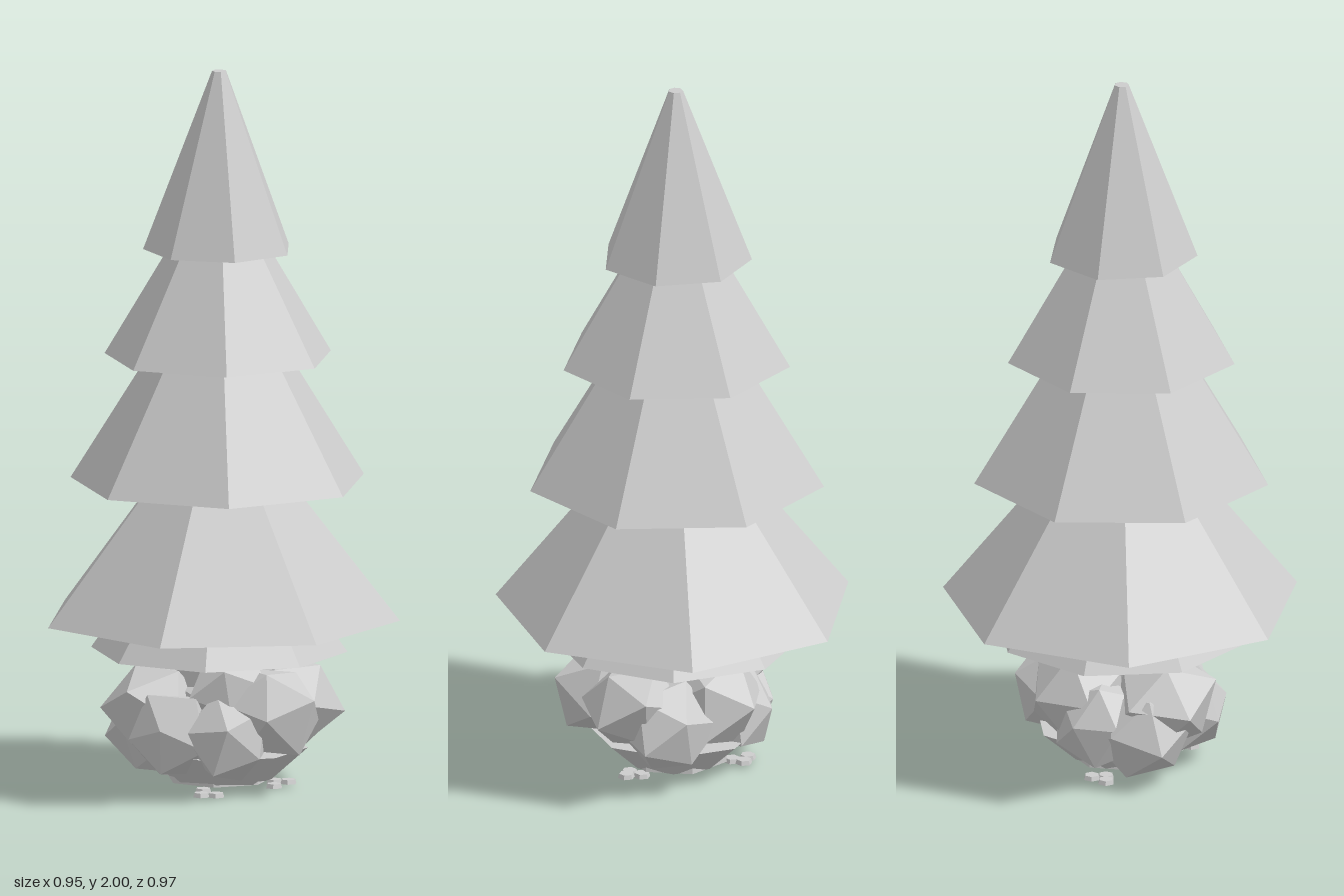
import * as THREE from 'three';

const CX = -0.025; // trunk axis

export function createModel() {
  const tree = new THREE.Group();
  tree.name = 'pineTree';
  const grey = new THREE.MeshStandardMaterial({ color: 0xcccccc, flatShading: true });
  grey.name = 'plainGrey';

  const add = (name, geometry, x, y, z) => {
    const mesh = new THREE.Mesh(geometry, grey);
    mesh.name = name;
    mesh.position.set(x, y, z);
    tree.add(mesh);
    return mesh;
  };

  // Foliage tiers: bottom y, top y, bottom radius, top radius, sides,
  // angle of one corner in degrees from +x towards +z
  const tiers = [
    [0.38, 0.60, 0.355, 0.20, 8, 0],
    [0.47, 0.87, 0.50, 0.185, 7, 0],
    [0.85, 1.22, 0.415, 0.185, 7, 28.7],
    [1.20, 1.52, 0.32, 0.13, 7, 28.7],
    [1.50, 2.00, 0.21, 0.02, 7, 20.6],
  ];
  tiers.forEach(([y0, y1, r0, r1, sides, corner], i) => {
    const cone = new THREE.CylinderGeometry(r1, r0, y1 - y0, sides);
    cone.rotateY(Math.PI / 2 * -1 - THREE.MathUtils.degToRad(corner) + Math.PI);
    // a cylinder's first corner lies on +z; the turn brings it to the wanted angle
    add('foliageTier' + (i + 1), cone, CX, (y0 + y1) / 2, 0);
  });

  // Trunk core between the foliage and the ground
  add('trunk', new THREE.CylinderGeometry(0.12, 0.15, 0.42, 7), CX, 0.23, 0);

  // Faceted rock: an icosahedron with each corner pushed in or out
  const rock = (r, seed) => {
    const g = new THREE.IcosahedronGeometry(r, 0);
    const p = g.attributes.position;
    const v = new THREE.Vector3();
    for (let i = 0; i < p.count; i++) {
      v.fromBufferAttribute(p, i);
      const n = v.clone().divideScalar(r);
      const k = 1 + 0.09 * Math.sin(n.x * 5.1 + n.y * 7.3 + n.z * 3.7 + seed * 2.4);
      v.multiplyScalar(k);
      p.setXYZ(i, v.x, v.y, v.z);
    }
    g.rotateY(seed * 1.3);
    g.rotateX(seed * 0.7);
    g.computeVertexNormals();
    return g;
  };

  // Ring of overlapping rocks: x, y, z, radius
  const rocks = [
    [-0.02, 0.20, 0.00, 0.19],
    [-0.19, 0.22, 0.04, 0.15],
    [-0.20, 0.15, -0.03, 0.14],
    [0.02, 0.16, 0.16, 0.13],
    [-0.14, 0.17, 0.14, 0.13],
    [0.13, 0.23, 0.12, 0.14],
    [0.17, 0.24, -0.04, 0.14],
    [0.12, 0.18, -0.12, 0.14],
    [-0.03, 0.23, -0.13, 0.15],
    [-0.13, 0.17, -0.12, 0.13],
    [0.02, 0.28, 0.11, 0.12],
  ];
  rocks.forEach(([x, y, z, r], i) => add('rock' + (i + 1), rock(r, i + 1), x, y, z));

  // Flat base below the rocks
  add('rockBase', new THREE.CylinderGeometry(0.24, 0.14, 0.09, 8), -0.02, 0.065, 0);

  // Flat crumbs lying on the ground in small clusters
  const clusters = [[-0.04, 0.18], [-0.15, -0.13], [0.14, 0.0]];
  clusters.forEach(([x, z], c) => {
    for (let i = 0; i < 3; i++) {
      const a = c + i * 2.1;
      const crumb = new THREE.CylinderGeometry(0.02, 0.024, 0.012, 6);
      add('groundCrumb', crumb, x + 0.026 * Math.cos(a), 0.006 + 0.004 * i, z + 0.026 * Math.sin(a));
    }
  });

  return tree;
}
